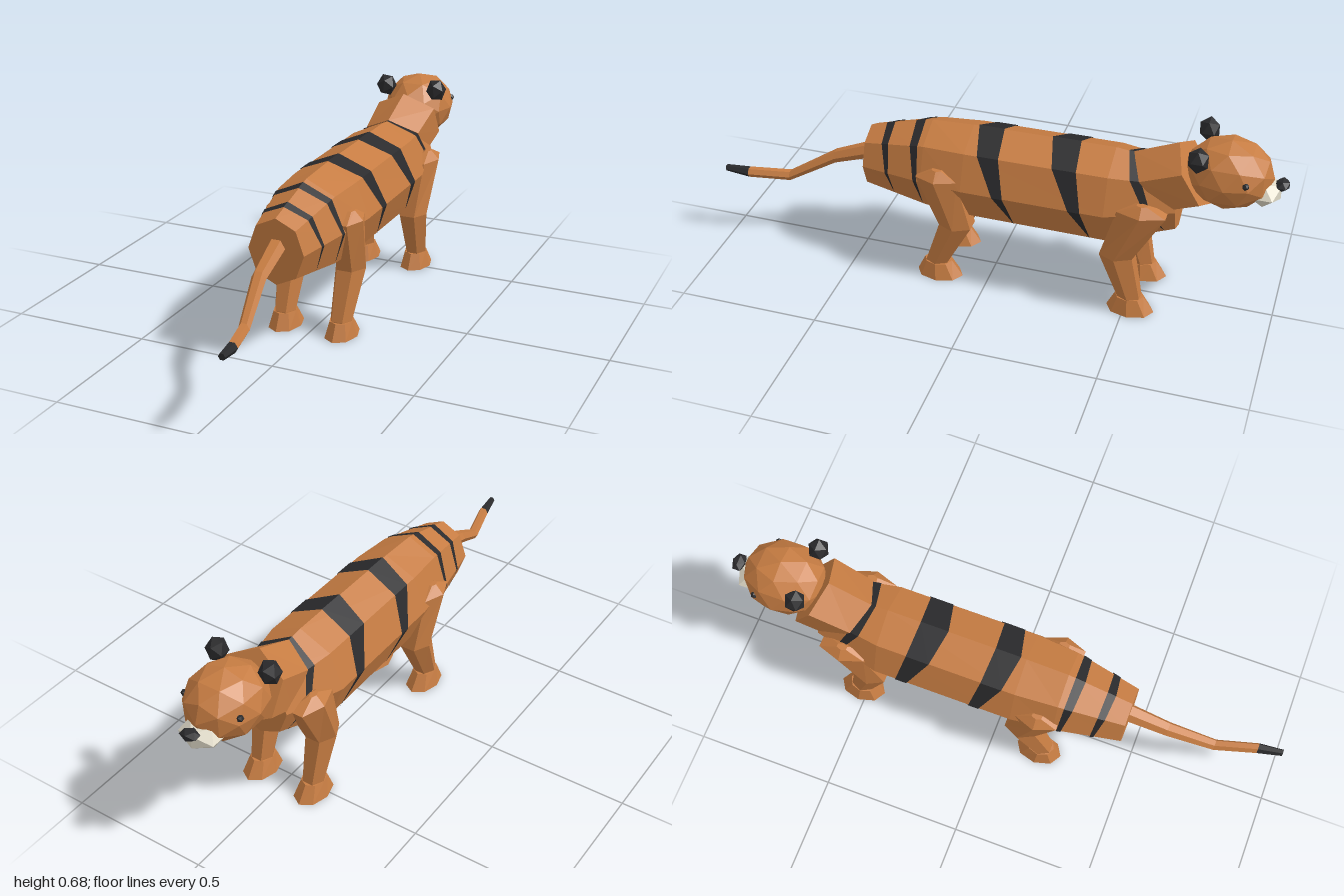
import * as THREE from 'three';

const flat = (color, name) => {
  const m = new THREE.MeshStandardMaterial({ color, flatShading: true, side: THREE.DoubleSide });
  m.name = name;
  return m;
};

// Skin a list of equal-length point rings, optionally closed around and capped.
function skin(rings, { closed = true, caps = true } = {}) {
  const pos = [];
  const tri = (...pts) => pts.forEach((p) => pos.push(p.x, p.y, p.z));
  const n = rings[0].length;
  for (let k = 0; k + 1 < rings.length; k++) {
    const a = rings[k], b = rings[k + 1];
    for (let i = 0; i < (closed ? n : n - 1); i++) {
      const j = (i + 1) % n;
      tri(a[i], a[j], b[j]);
      tri(a[i], b[j], b[i]);
    }
  }
  if (caps) {
    const first = rings[0], last = rings[rings.length - 1];
    for (let i = 1; i + 1 < n; i++) {
      tri(first[0], first[i + 1], first[i]);
      tri(last[0], last[i], last[i + 1]);
    }
  }
  const g = new THREE.BufferGeometry();
  g.setAttribute('position', new THREE.Float32BufferAttribute(pos, 3));
  g.computeVertexNormals();
  return g;
}

// Ring of n points: centre + u cos + v sin.
const ring = (n, c, u, v, start = 0) => Array.from({ length: n }, (_, i) => {
  const t = start + (i / n) * Math.PI * 2;
  return new THREE.Vector3(...c).addScaledVector(new THREE.Vector3(...u), Math.cos(t))
    .addScaledVector(new THREE.Vector3(...v), Math.sin(t));
});

// Torso stations from chest to rump: z, centre y, half width, half height
const TORSO = [
  [-0.65, 0.43, 0.11, 0.12],
  [-0.42, 0.4, 0.163, 0.178],
  [0.08, 0.4, 0.163, 0.174],
  [0.23, 0.4, 0.147, 0.167],
  [0.46, 0.39, 0.1, 0.115],
];

// Point on the torso at eighth-turn i (0 is the spine) and depth z
function torsoPoint(i, z, lift = 0) {
  let k = 0;
  while (k < TORSO.length - 2 && z > TORSO[k + 1][0]) k++;
  const A = TORSO[k], B = TORSO[k + 1];
  const t = (z - A[0]) / (B[0] - A[0]);
  const [cy, rx, ry] = [1, 2, 3].map((j) => A[j] + (B[j] - A[j]) * t);
  const a = (i * Math.PI) / 4;
  return new THREE.Vector3(-(rx + lift) * Math.sin(a), cy + (ry + lift) * Math.cos(a), z);
}

const range = (a, b) => Array.from({ length: b - a + 1 }, (_, i) => a + i);

export function createModel() {
  const root = new THREE.Group();
  const orange = flat(0xc67c42, 'orangeFur');
  const dark = flat(0x2a2a2c, 'darkFur');
  const cream = flat(0xe0dac8, 'creamFur');

  const add = (name, geometry, material) => {
    const m = new THREE.Mesh(geometry, material);
    m.name = name;
    root.add(m);
    return m;
  };
  const blob = (name, material, detail, p, s) => {
    const m = add(name, new THREE.IcosahedronGeometry(1, detail), material);
    m.position.set(...p);
    m.scale.set(...s);
    return m;
  };

  // Torso: orange back and flanks, cream belly, end caps
  const strip = (ids) => skin(TORSO.map(([z]) => ids.map((i) => torsoPoint(i, z))), { closed: false, caps: false });
  add('back', strip(range(-3, 3)), orange);
  add('belly', strip(range(3, 5)), cream);
  [['chest', -0.65], ['rump', 0.46]].forEach(([name, z]) => {
    const pts = range(0, 7).map((i) => torsoPoint(i, z));
    if (z < 0) pts.reverse();
    const c = new THREE.Vector3(0, TORSO[z < 0 ? 0 : 4][1], z);
    add(name, skin([pts, pts.map(() => c)], { caps: false }), orange);
  });

  // Stripes: front z and rear z at the spine, z of the low pointed end
  [[-0.51, -0.465, -0.62], [-0.3, -0.2, -0.37], [-0.03, 0.06, -0.1], [0.255, 0.29, 0.235], [0.37, 0.4, 0.347]]
    .forEach(([front, rear, tip]) => {
      const edge = (z) => range(-3, 3).map((i) => {
        const t = (1 - Math.cos((i * Math.PI) / 4)) / (1 + Math.SQRT1_2);
        return torsoPoint(i, z + (tip - z) * t, 0.003);
      });
      add('stripe', skin([edge(front), edge(rear)], { closed: false, caps: false }), dark);
    });

  // Neck: slanted six-sided sleeve
  add('neck', skin([
    ring(6, [0, 0.475, -0.565], [0.12, 0, 0], [0, -0.098, -0.085], Math.PI / 2),
    ring(6, [0, 0.53, -0.695], [0.13, 0, 0], [0, -0.107, -0.065], Math.PI / 2),
  ]), orange);

  // Head
  blob('head', orange, 1, [0, 0.555, -0.8], [0.13, 0.121, 0.15]);
  blob('muzzle', cream, 0, [0, 0.508, -0.922], [0.08, 0.048, 0.063]);
  blob('nose', dark, 0, [0, 0.54, -0.977], [0.036, 0.02, 0.026]);
  for (const s of [1, -1]) {
    blob('ear', dark, 0, [s * 0.102, 0.643, -0.71], [0.039, 0.044, 0.038]).rotation.z = s * 0.1;
    blob('eye', dark, 0, [s * 0.106, 0.576, -0.868], [0.013, 0.013, 0.013]);
  }

  // Legs and paws: z of the paw, knee and hip
  const level = (n, x, y, z, rx, rz) => ring(n, [x, y, z], [rx, 0, 0], [0, 0, -rz]);
  [['front', -0.515, -0.465, -0.545, 0.095], ['rear', 0.183, 0.11, 0.17, 0.085]]
    .forEach(([end, paw, knee, hip, hipDepth]) => {
      for (const s of [1, -1]) {
        add(end + 'Leg', skin([
          level(6, s * 0.107, 0.03, paw, 0.04, 0.045),
          level(6, s * 0.107, 0.06, paw, 0.04, 0.045),
          level(6, s * 0.11, 0.23, knee, 0.056, 0.066),
          level(6, s * 0.125, 0.425, hip, 0.055, hipDepth),
          level(6, s * 0.138, 0.457, hip, 0.012, 0.02),
        ]), orange);
        add(end + 'Paw', skin([
          level(8, s * 0.107, 0, paw - 0.006, 0.057, 0.084),
          level(8, s * 0.107, 0.058, paw, 0.041, 0.05),
        ]), orange);
      }
    });

  // Tail: x, y, z, radius
  const tail = [
    [0, 0.412, 0.44, 0.033],
    [0.01, 0.355, 0.6, 0.026],
    [0.045, 0.26, 0.77, 0.02],
    [0.083, 0.269, 0.915, 0.019],
    [0.094, 0.278, 1.0, 0.012],
  ].map(([x, y, z, r]) => ring(6, [x, y, z], [r, 0, 0], [0, r, 0]));
  add('tail', skin(tail.slice(0, 4)), orange);
  add('tailTip', skin(tail.slice(3)), dark);

  return root;
}
